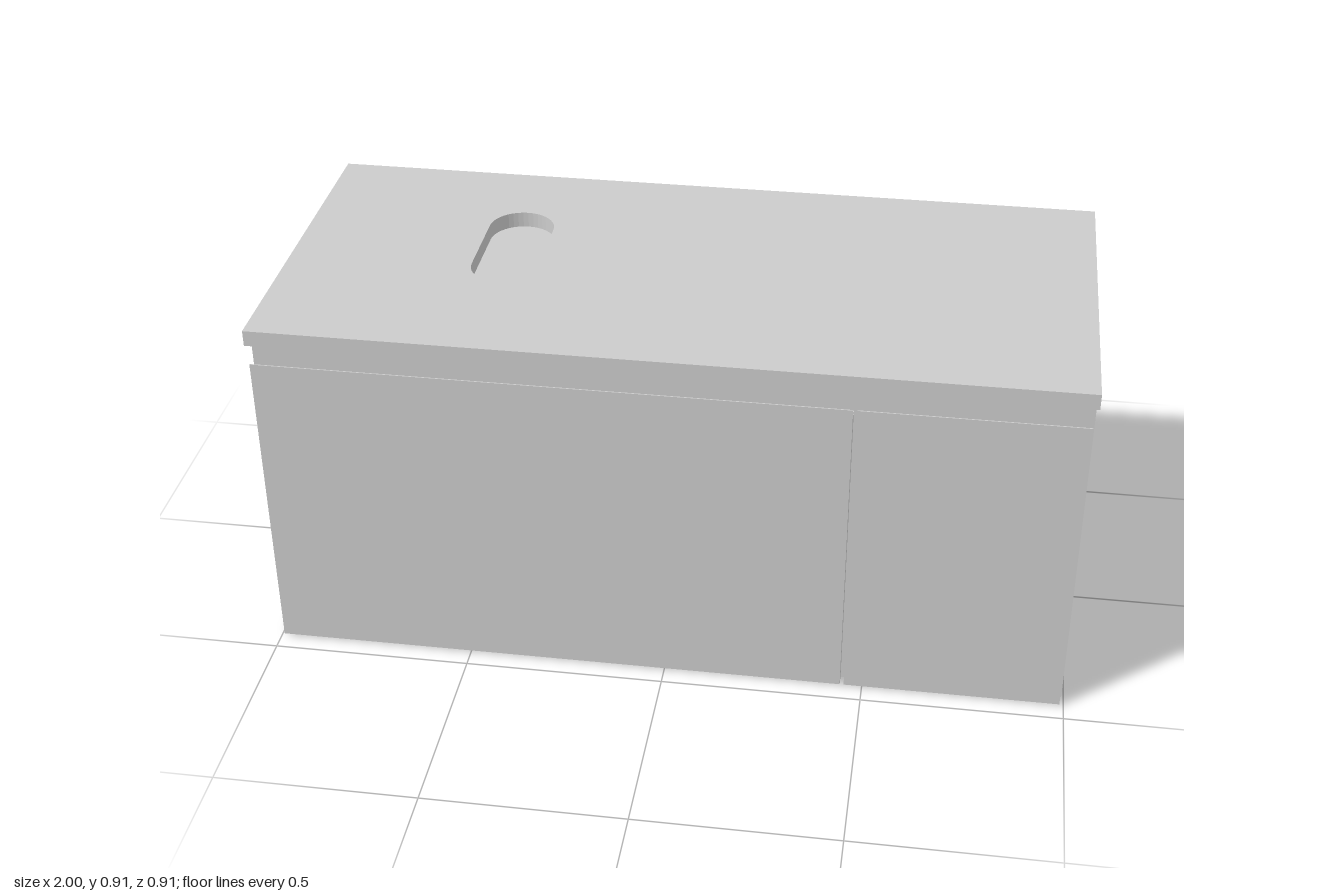
import * as THREE from 'three';

const material = new THREE.MeshStandardMaterial({ color: 0xcccccc, flatShading: true });

function addMesh(parent, name, geometry) {
  const mesh = new THREE.Mesh(geometry, material);
  mesh.name = name;
  parent.add(mesh);
  return mesh;
}

// Box given by its lower and upper corners
function addBox(parent, name, [x0, y0, z0], [x1, y1, z1]) {
  const mesh = addMesh(parent, name, new THREE.BoxGeometry(x1 - x0, y1 - y0, z1 - z0));
  mesh.position.set((x0 + x1) / 2, (y0 + y1) / 2, (z0 + z1) / 2);
  return mesh;
}

// Countertop slab with an oblong drain opening
function countertopGeometry(thickness) {
  const slab = new THREE.Shape([
    new THREE.Vector2(-1, -0.454), new THREE.Vector2(1, -0.454),
    new THREE.Vector2(1, 0.454), new THREE.Vector2(-1, 0.454),
  ]);
  const cx = -0.457, r = 0.083;
  const hole = new THREE.Path();
  hole.absarc(cx, 0.155, r, 0, Math.PI, false);
  hole.absarc(cx, -0.052, r, Math.PI, Math.PI * 2, false);
  hole.closePath();
  slab.holes.push(hole);
  const geometry = new THREE.ExtrudeGeometry(slab, { depth: thickness, bevelEnabled: false, curveSegments: 10 });
  return geometry.rotateX(-Math.PI / 2);
}

// Front panel: z-y section with a thin grip lip, swept along x
function frontGeometry(width) {
  const section = [
    [0.423, 0.005], [0.453, 0.005], [0.453, 0.818], [0.450, 0.818],
    [0.450, 0.797], [0.419, 0.797], [0.419, 0.775], [0.423, 0.775],
  ];
  const shape = new THREE.Shape(section.map(([z, y]) => new THREE.Vector2(-z, y)));
  const geometry = new THREE.ExtrudeGeometry(shape, { depth: width, bevelEnabled: false });
  return geometry.rotateY(Math.PI / 2);
}

export function createModel() {
  const model = new THREE.Group();
  model.name = 'vanityCabinet';

  // Closed carcass with side panels and a divider reaching the countertop
  addBox(model, 'carcass', [-0.995, 0, -0.454], [0.995, 0.87, 0.412]);
  for (const [name, x0, x1] of [
    ['rightSideEdge', -0.995, -0.975], ['dividerEdge', 0.43, 0.47], ['leftSideEdge', 0.975, 0.995],
  ]) addBox(model, name, [x0, 0, 0.41], [x1, 0.87, 0.418]);

  // Bottom edge and recessed grip rails
  addBox(model, 'bottomEdge', [-0.975, 0, 0.41], [0.975, 0.02, 0.418]);
  for (const [name, x0, x1] of [['wideGripRail', -0.975, 0.448], ['narrowGripRail', 0.452, 0.975]])
    addBox(model, name, [x0, 0.76, 0.405], [x1, 0.865, 0.4185]);

  // Wide drawer front and narrow door
  for (const [name, x0, x1] of [['drawerFront', -0.993, 0.445], ['doorFront', 0.455, 0.99]])
    addMesh(model, name, frontGeometry(x1 - x0)).position.x = x0;

  addMesh(model, 'countertop', countertopGeometry(0.04)).position.y = 0.87;
  return model;
}
